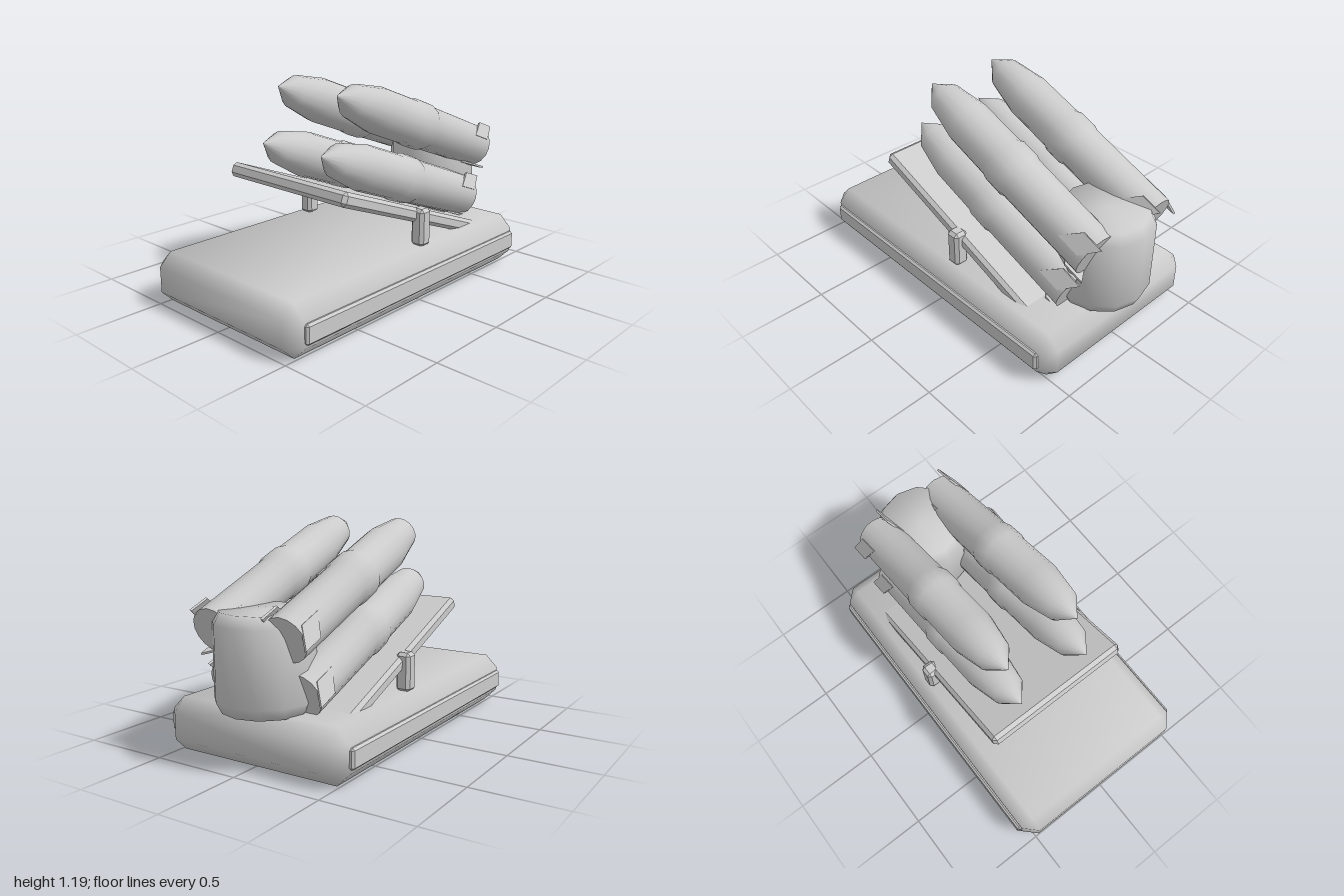
import * as THREE from 'three';
import { toCreasedNormals } from 'three/addons/utils/BufferGeometryUtils.js';
import { ConvexGeometry } from 'three/addons/geometries/ConvexGeometry.js';

const TILT = 0.367; // shared elevation of ramp and missiles

const material = new THREE.MeshStandardMaterial({ color: 0xcccccc });

function addMesh(parent, name, geometry, x = 0, y = 0, z = 0) {
  const mesh = new THREE.Mesh(geometry, material);
  mesh.name = name;
  mesh.position.set(x, y, z);
  parent.add(mesh);
  return mesh;
}

// Box with every edge cut by a single chamfer c
function chamferBox(w, h, d, c, crease = 0.1) {
  const points = [];
  for (const sx of [-1, 1]) for (const sy of [-1, 1]) for (const sz of [-1, 1]) {
    for (const face of [0, 1, 2]) {
      const [x, y, z] = [w, h, d].map((size, axis) => size / 2 - (axis === face ? 0 : c));
      points.push(new THREE.Vector3(sx * x, sy * y, sz * z));
    }
  }
  return toCreasedNormals(new ConvexGeometry(points), crease);
}

// Lathe from [radius, height] pairs, listed bottom to top
function lathe(profile, sides, crease) {
  const points = profile.map(([r, y]) => new THREE.Vector2(r, y));
  return toCreasedNormals(new THREE.LatheGeometry(points, sides), crease);
}

// Swept-back plate lying across the tail surface
function finGeometry() {
  const half = 0.006;
  const edges = [
    { x: 0.115, y: 0.045, z: [-1.142, -1.279] },
    { x: 0.062, y: 0.135, z: [-1.229, -1.356] },
  ];
  const normal = new THREE.Vector3(0.86, 0.51, 0);
  const points = [];
  for (const { x, y, z } of edges) for (const s of z) for (const side of [-half, half]) {
    points.push(new THREE.Vector3(x, y, s).addScaledVector(normal, side));
  }
  return new ConvexGeometry(points);
}

// Missile along +z, nose tip at the origin
function createMissile(bodyGeometry, fin) {
  const missile = new THREE.Group();
  missile.name = 'missile';
  addMesh(missile, 'missileBody', bodyGeometry);
  for (let i = 0; i < 3; i++) {
    addMesh(missile, 'tailFin', fin).rotation.z = (i * Math.PI * 2) / 3;
  }
  missile.rotation.x = -TILT;
  return missile;
}

export function createModel() {
  const model = new THREE.Group();
  model.name = 'missileLauncher';

  // Hull with chamfered edges and side rails
  addMesh(model, 'hull', chamferBox(1.11, 0.29, 1.895, 0.073, 1.1), 0, 0.145, 0.0525);
  const rail = chamferBox(0.05, 0.11, 1.75, 0.012);
  const post = chamferBox(0.085, 0.215, 0.085, 0.018);
  for (const side of [-1, 1]) {
    addMesh(model, 'sideRail', rail, side * 0.55, 0.147, 0.05);
    addMesh(model, 'rampPost', post, side * 0.4375, 0.3925, -0.08);
  }

  // Sloping ramp, its rear end sunk into the hull
  const ramp = addMesh(model, 'ramp', chamferBox(0.88, 0.08, 1.3, 0.02), 0, 0.452, -0.077);
  ramp.rotation.x = -TILT;

  // Rear turret drum
  const drum = [[0, 0.285], [0.23, 0.285], [0.26, 0.345], [0.26, 0.73], [0.23, 0.79], [0, 0.79]];
  addMesh(model, 'turret', lathe(drum, 12, 1.2), 0, 0, -0.74);

  // Two stacked pairs of missiles
  const body = lathe([
    [0, -1.31], [0.126, -1.31], [0.13, -0.76], [0.139, -0.735], [0.139, -0.63],
    [0.13, -0.605], [0.129, -0.32], [0.093, -0.12], [0, 0],
  ], 16, 0.7);
  body.rotateX(Math.PI / 2);
  const fin = finGeometry();
  for (const x of [-0.22, 0.22]) {
    for (const [y, z] of [[1.148, 0.355], [0.853, 0.474]]) {
      const missile = createMissile(body, fin);
      missile.position.set(x, y, z);
      model.add(missile);
    }
  }

  return model;
}
